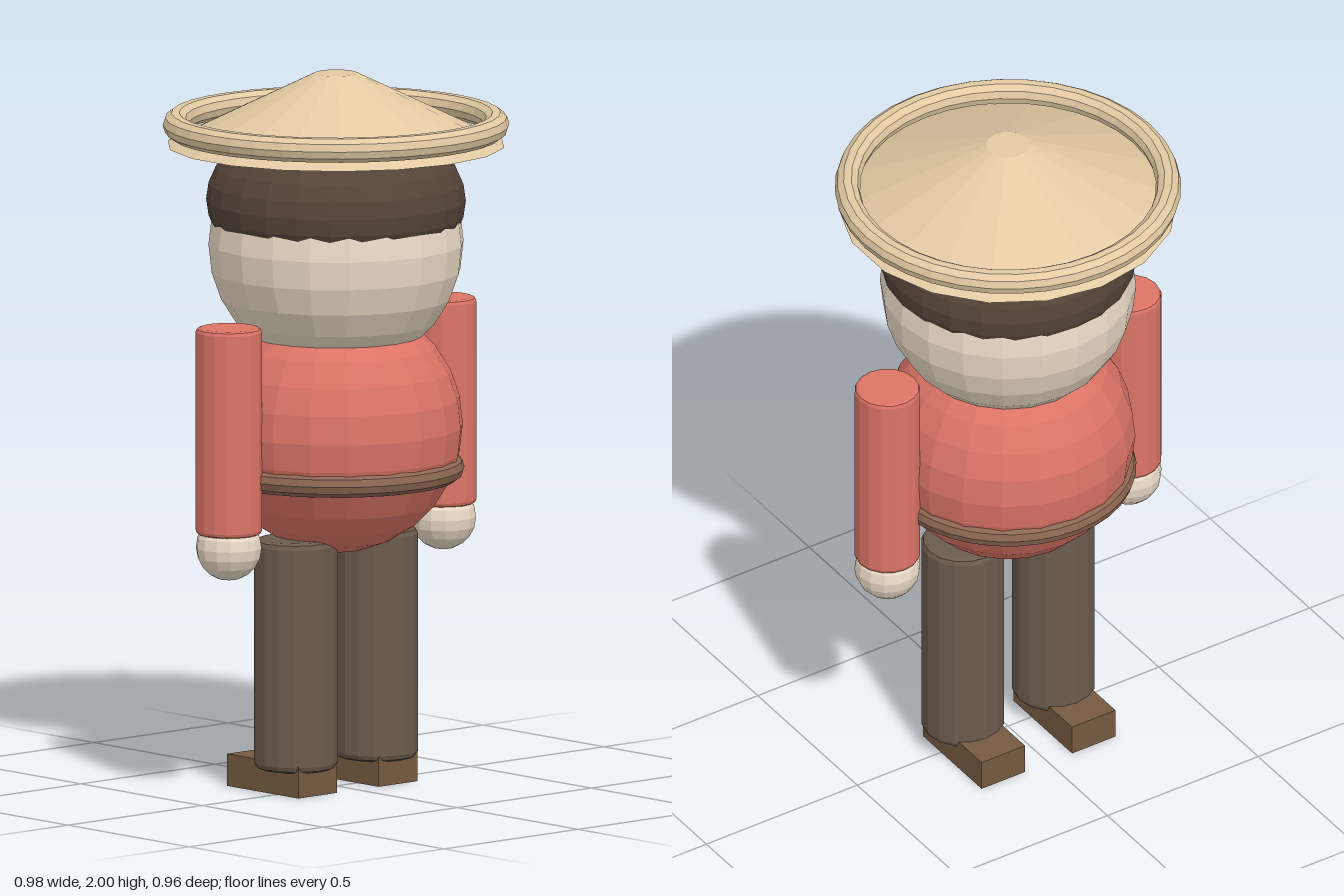
import * as THREE from 'three';

const mat = (color) => new THREE.MeshStandardMaterial({ color, flatShading: true });

export function createModel() {
  const model = new THREE.Group();
  const skin = mat(0xecdcc8), coat = mat(0xdc7466), straw = mat(0xe2caa2);
  const hairMat = mat(0x55453a), trousers = mat(0x6b5b4e), leather = mat(0x8c6652), shoeMat = mat(0x755a40);

  const add = (name, geometry, material, x, y, z = 0) => {
    const mesh = new THREE.Mesh(geometry, material);
    mesh.name = name;
    mesh.position.set(x, y, z);
    model.add(mesh);
    return mesh;
  };

  // Upright cylinder with small bevelled rims, standing on its origin
  const bevelled = (r, h, b, sides) => new THREE.LatheGeometry([
    [0, 0], [r - b, 0], [r - b * 0.3, b * 0.3], [r, b],
    [r, h - b], [r - b * 0.3, h - b * 0.3], [r - b, h], [0, h],
  ].map(([x, y]) => new THREE.Vector2(x, y)), sides);

  // Horizontal ring
  const ring = (r, tube) => new THREE.TorusGeometry(r, tube, 10, 36).rotateX(Math.PI / 2);

  // Body and belt
  add('body', new THREE.SphereGeometry(0.353, 20, 14), coat, 0, 1.012);
  add('belt', ring(0.322, 0.034), leather, 0, 0.895);

  // Head and hair cap
  add('head', new THREE.SphereGeometry(0.355, 20, 14), skin, 0, 1.525);
  add('hair', new THREE.SphereGeometry(0.36, 24, 16).scale(1, 0.67, 1), hairMat, 0, 1.645);

  // Conical hat with a raised ring around the brim
  add('hat', new THREE.CylinderGeometry(0.06, 0.47, 0.2, 18), straw, 0, 1.9);
  add('hatRing', ring(0.445, 0.035), straw, 0, 1.856);

  // Limbs, mirrored left and right
  for (const [side, s] of [['left', 1], ['right', -1]]) {
    add(side + 'Arm', bevelled(0.092, 0.58, 0.012, 16), coat, s * 0.4, 0.75);
    add(side + 'Hand', new THREE.SphereGeometry(0.092, 14, 10), skin, s * 0.4, 0.713);
    add(side + 'Leg', bevelled(0.116, 0.645, 0.018, 16), trousers, s * 0.15, 0.067);
    add(side + 'Shoe', new THREE.BoxGeometry(0.144, 0.09, 0.294), shoeMat, s * 0.15, 0.045, -0.057);
  }
  return model;
}
